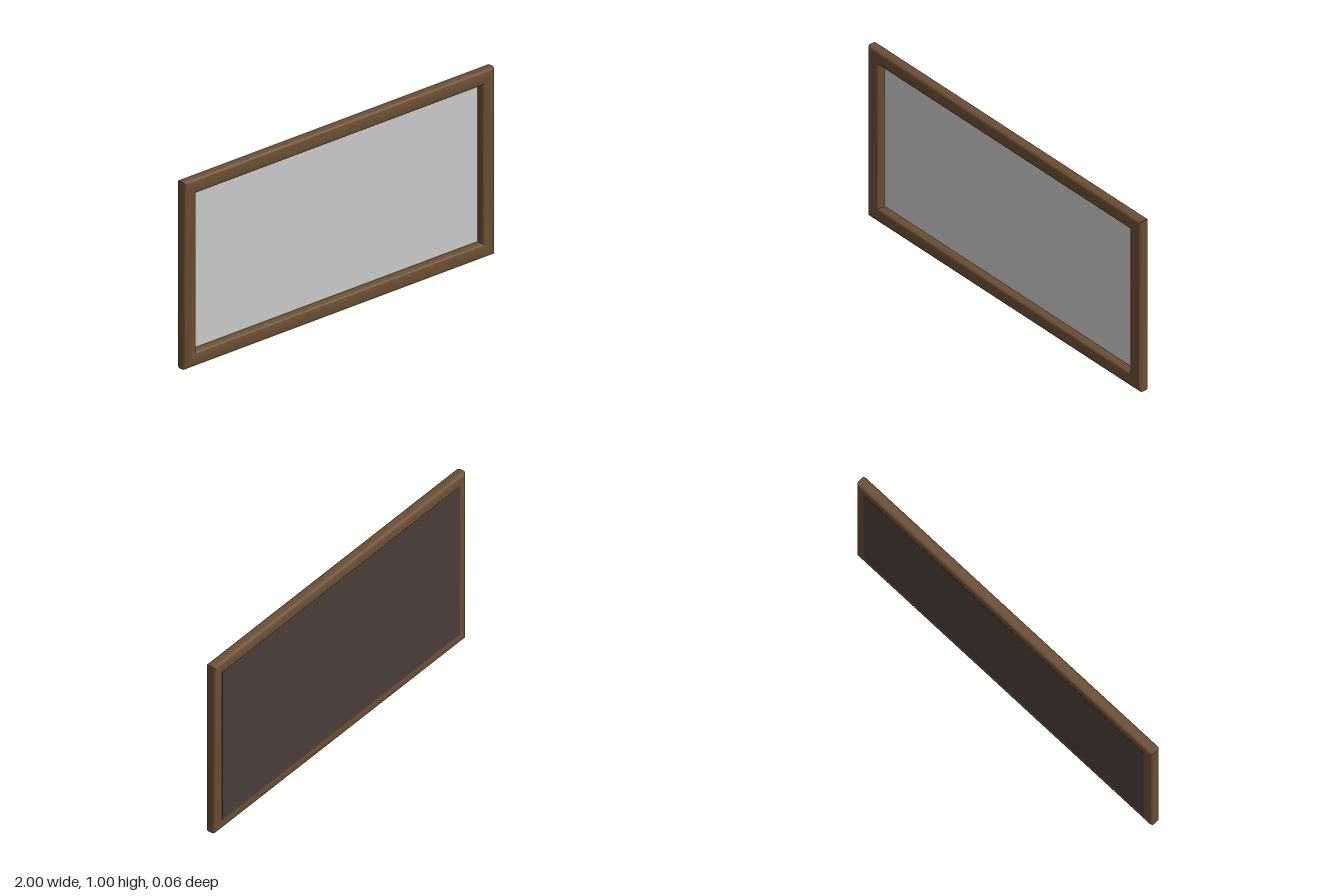
import * as THREE from 'three';
import { toCreasedNormals } from 'three/addons/utils/BufferGeometryUtils.js';

const WIDTH = 2, HEIGHT = 1, DEPTH = 0.06, BAR = 0.078, ROUND = 0.018;

function rectangle(PathType, w, h) {
  return new PathType([
    new THREE.Vector2(-w / 2, -h / 2),
    new THREE.Vector2(w / 2, -h / 2),
    new THREE.Vector2(w / 2, h / 2),
    new THREE.Vector2(-w / 2, h / 2),
  ]);
}

function panel(name, w, h, zBack, zFront, color) {
  const mesh = new THREE.Mesh(
    new THREE.BoxGeometry(w, h, zFront - zBack),
    new THREE.MeshStandardMaterial({ color })
  );
  mesh.name = name;
  mesh.position.set(0, HEIGHT / 2, (zBack + zFront) / 2);
  return mesh;
}

export function createModel() {
  const group = new THREE.Group();
  group.name = 'framedPanel';

  // Mitred wooden frame with rounded inner and outer edges
  const outline = rectangle(THREE.Shape, WIDTH, HEIGHT);
  outline.holes.push(rectangle(THREE.Path, WIDTH - 2 * BAR, HEIGHT - 2 * BAR));
  const geometry = new THREE.ExtrudeGeometry(outline, {
    depth: DEPTH - 2 * ROUND,
    bevelThickness: ROUND,
    bevelSize: ROUND,
    bevelOffset: -ROUND,
    bevelSegments: 4,
  });
  geometry.translate(0, HEIGHT / 2, -DEPTH / 2 + ROUND);
  const frame = new THREE.Mesh(
    toCreasedNormals(geometry, 0.6),
    new THREE.MeshStandardMaterial({ color: 0x6b4e33 })
  );
  frame.name = 'frame';
  group.add(frame);

  // Grey face recessed inside the frame
  group.add(panel('face', 1.87, 0.87, -0.022, -0.014, 0xcccccc));

  // Dark backing board, flush with the rear of the frame
  group.add(panel('backing', 1.89, 0.89, -0.031, -0.022, 0x4a3e38));

  return group;
}
